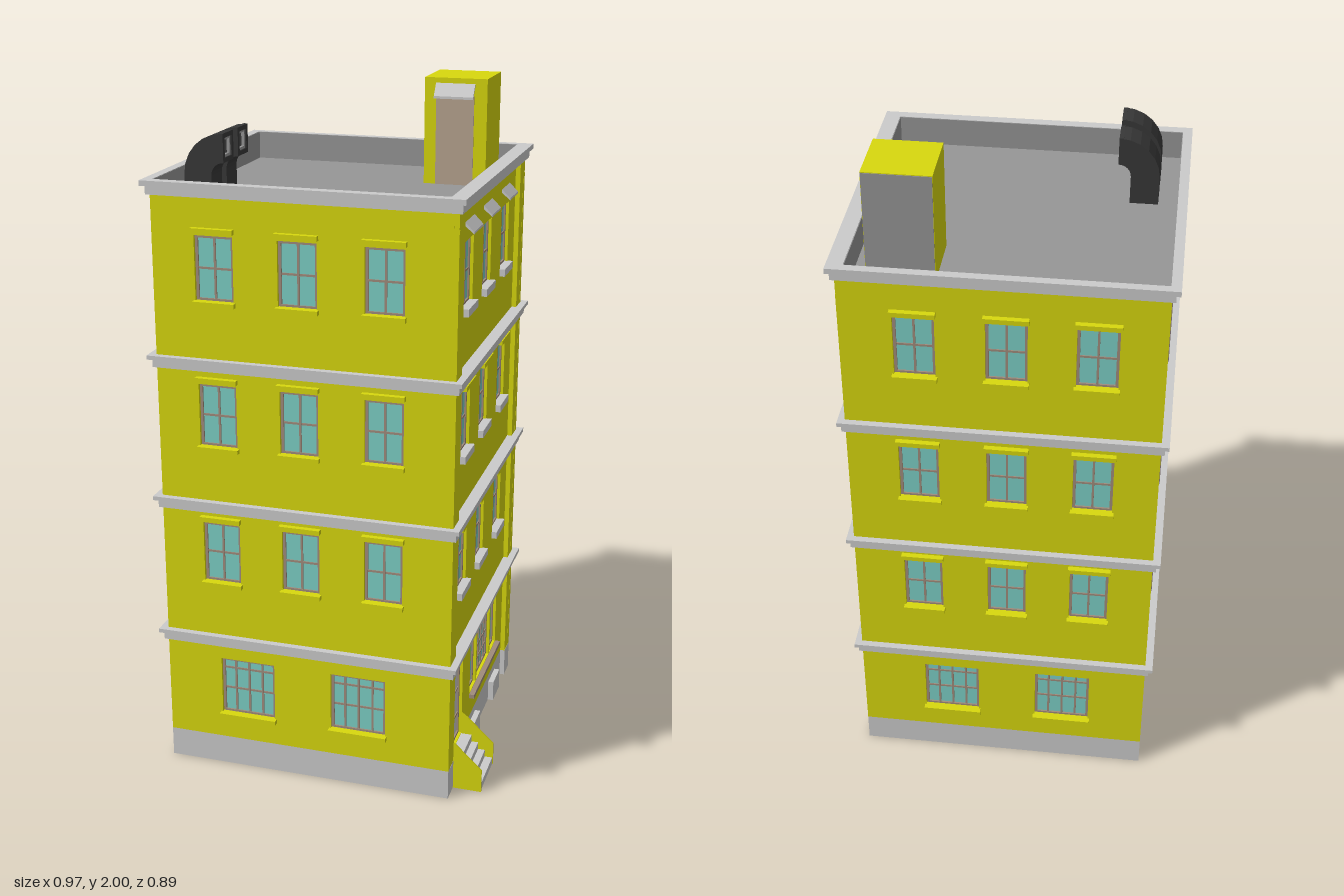
import * as THREE from 'three';

const mat = (color) => new THREE.MeshStandardMaterial({ color, side: THREE.DoubleSide, flatShading: true });

export function createModel() {
  const model = new THREE.Group();
  const yellow = mat(0xd8d80e), grey = mat(0xcccccc), roofGrey = mat(0x969696);
  const glass = mat(0x7cd0c6), brown = mat(0xa08c7c), dark = mat(0x383838), blind = mat(0x8c7c78), tan = mat(0xb8a490);

  const add = (parent, name, geometry, material) => {
    const mesh = new THREE.Mesh(geometry, material);
    mesh.name = name;
    parent.add(mesh);
    return mesh;
  };
  // Box given by its min and max on each axis
  const box = (parent, name, material, x0, x1, y0, y1, z0, z1) => {
    const mesh = add(parent, name, new THREE.BoxGeometry(x1 - x0, y1 - y0, z1 - z0), material);
    mesh.position.set((x0 + x1) / 2, (y0 + y1) / 2, (z0 + z1) / 2);
    return mesh;
  };
  const trace = (path, x0, x1, y0, y1) =>
    path.moveTo(x0, y0).lineTo(x1, y0).lineTo(x1, y1).lineTo(x0, y1).closePath();
  // Horizontal rectangular ring open in the middle
  const ring = (name, material, outer, inner, y0, y1) => {
    const shape = trace(new THREE.Shape(), outer[0], outer[1], -outer[3], -outer[2]);
    shape.holes.push(trace(new THREE.Path(), inner[0], inner[1], -inner[3], -inner[2]));
    const geo = new THREE.ExtrudeGeometry(shape, { depth: y1 - y0, bevelEnabled: false });
    add(model, name, geo.rotateX(-Math.PI / 2).translate(0, y0, 0), material);
  };
  // Prism with an x-y outline, extruded along z
  const prism = (parent, name, material, points, z0, z1) => {
    const shape = new THREE.Shape(points.map(([x, y]) => new THREE.Vector2(x, y)));
    const geo = new THREE.ExtrudeGeometry(shape, { depth: z1 - z0, bevelEnabled: false });
    return add(parent, name, geo.translate(0, 0, z0), material);
  };

  const WALL = 0.02, BASE = 0.09, ROOF = 1.69;

  // Pane, frame, glazing bars and trim of one opening; the wall face is z = 0
  const fillOpening = (wall, o) => {
    const g = new THREE.Group();
    g.name = o.name;
    wall.add(g);
    const { u0, u1, v0, v1 } = o, t = 0.008, zb = -WALL + 0.001, zf = -0.009;
    box(g, 'pane', o.pane || glass, u0, u1, v0, v1, -WALL, -0.014);
    for (const [a, b] of [[u0, u0 + t], [u1 - t, u1]]) box(g, 'frameSide', brown, a, b, v0, v1, zb, zf);
    for (const [a, b] of [[v0, v0 + t], [v1 - t, v1]]) box(g, 'frameRail', brown, u0 + t, u1 - t, a, b, zb, zf);
    for (const f of o.bars) {
      const u = u0 + f * (u1 - u0);
      box(g, 'uprightBar', brown, u - 0.003, u + 0.003, v0, v1, zb, zf - 0.001);
    }
    for (const f of o.rails) {
      const v = v0 + f * (v1 - v0);
      box(g, 'crossBar', brown, u0, u1, v - 0.003, v + 0.003, zb, zf - 0.002);
    }
    if (o.sill) box(g, 'sill', o.sill, u0 - 0.005, u1 + 0.005, v0 - (o.sillHeight || 0.011), v0 + 0.002, -WALL, 0.016);
    if (o.hood) box(g, 'hood', o.hood, u0 - 0.005, u1 + 0.005, v1 + 0.008, v1 + 0.022, -0.005, 0.016);
    if (o.awning) {
      const a = prism(g, 'awning', grey, [[0, 0.055], [0.025, 0.03], [0.025, 0.024], [0, 0.045]], -0.055, 0.055);
      a.rotation.y = -Math.PI / 2;
      a.position.set((u0 + u1) / 2, v1, 0);
    }
  };

  // Wall pierced by its openings
  const facade = (name, x0, x1, openings) => {
    const wall = new THREE.Group();
    wall.name = name;
    const shape = trace(new THREE.Shape(), x0, x1, BASE, ROOF);
    for (const o of openings) {
      shape.holes.push(trace(new THREE.Path(), o.u0, o.u1, o.v0, o.v1));
      fillOpening(wall, o);
    }
    const geo = new THREE.ExtrudeGeometry(shape, { depth: WALL, bevelEnabled: false });
    add(wall, 'wall', geo.translate(0, 0, -WALL), yellow);
    model.add(wall);
    return wall;
  };

  const floors = [0.6, 1.02, 1.445];
  const upperWindows = (centres, half, extra) => floors.flatMap((v0, i) => centres.map((c) => ({
    name: 'upperWindow', u0: c - half, u1: c + half, v0, v1: v0 + 0.185, bars: [0.5], rails: [0.5], ...extra(i),
  })));

  // Front and back walls
  for (const s of [1, -1]) {
    const openings = upperWindows([-0.285, -0.045, 0.2].map((c) => c * s), 0.056, () => ({ sill: yellow, hood: yellow }));
    for (const c of [-0.215, 0.125]) openings.push({
      name: 'groundWindow', u0: c * s - 0.083, u1: c * s + 0.083, v0: 0.172, v1: 0.352,
      bars: [0.25, 0.5, 0.75], rails: [0.45, 0.82], sill: yellow,
    });
    const ends = s > 0 ? [-0.465, 0.4] : [-0.4, 0.465];
    const wall = facade(s > 0 ? 'frontWall' : 'backWall', ...ends, openings);
    wall.position.z = 0.425 * s;
    if (s < 0) wall.rotation.y = Math.PI;
  }

  // Entrance wall on the +x side, set back between corner pilasters
  const entrance = upperWindows([-0.245, -0.02, 0.22], 0.052, (i) => ({
    sill: grey, sillHeight: 0.02, ...(i === 2 ? { awning: true } : { hood: yellow }),
  }));
  entrance.push(
    { name: 'entranceDoor', u0: -0.358, u1: -0.2, v0: 0.092, v1: 0.345, bars: [0.5], rails: [0.28, 0.62], pane: grey },
    { name: 'shopWindowSide', u0: -0.1, u1: -0.018, v0: 0.172, v1: 0.35, bars: [0.5], rails: [] },
    { name: 'shopWindowMiddle', u0: -0.008, u1: 0.17, v0: 0.172, v1: 0.35, bars: [0.2, 0.4, 0.6, 0.8], rails: [0.25, 0.5] },
    { name: 'shopWindowSide', u0: 0.18, u1: 0.265, v0: 0.172, v1: 0.35, bars: [0.5], rails: [] },
  );
  const entranceWall = facade('entranceWall', -0.405, 0.405, entrance);
  entranceWall.position.x = 0.385;
  entranceWall.rotation.y = Math.PI / 2;
  box(entranceWall, 'shopSill', brown, -0.105, 0.27, 0.157, 0.17, -0.01, 0.016);
  for (const s of [1, -1]) {
    const z = [0.36 * s, 0.4245 * s].sort((a, b) => a - b);
    box(model, 'pilaster', yellow, 0.378, 0.3995, BASE, 1.735, ...z);
    box(model, 'pilasterBase', grey, 0.378, 0.4, 0, BASE, ...z);
  }

  // Plain side wall with blind windows
  box(model, 'sideWall', yellow, -0.465, -0.445, BASE, ROOF, -0.405, 0.405);
  for (const v of floors) for (const z of [-0.225, 0, 0.245])
    box(model, 'blindWindow', blind, -0.467, -0.46, v, v + 0.19, z - 0.055, z + 0.055);

  // Plinth with cellar boxes
  box(model, 'plinth', grey, -0.465, 0.385, 0, BASE, -0.425, 0.425);
  box(model, 'plinthFrontEnd', grey, 0.38, 0.4, 0, BASE, 0.4, 0.425);
  box(model, 'plinthBackEnd', grey, 0.38, 0.4, 0, BASE, -0.425, -0.4);
  for (const z of [0.058, -0.225]) box(model, 'cellarBox', grey, 0.38, 0.402, 0, 0.065, z - 0.046, z + 0.046);

  // Floor bands
  for (const y of [0.395, 0.82, 1.245]) {
    box(model, 'floorBand', grey, -0.475, 0.41, y, y + 0.024, -0.434, 0.434);
    box(model, 'floorBandCap', grey, -0.487, 0.42, y + 0.024, y + 0.036, -0.445, 0.445);
  }

  // Parapet, cornice and roof deck
  const inner = [-0.46, 0.375, -0.42, 0.415];
  ring('parapet', yellow, [-0.465, 0.385, -0.425, 0.425], inner, ROOF, 1.735);
  ring('parapetLining', roofGrey, [-0.462, 0.377, -0.422, 0.417], [-0.458, 0.373, -0.418, 0.413], ROOF, 1.774);
  ring('cornice', grey, [-0.475, 0.41, -0.434, 0.434], inner, 1.735, 1.76);
  ring('corniceCap', grey, [-0.487, 0.42, -0.445, 0.445], inner, 1.76, 1.775);
  box(model, 'roofDeck', roofGrey, -0.462, 0.38, ROOF - 0.01, ROOF + 0.002, -0.422, 0.422);

  // Entrance stairs with sloping side walls
  const stairs = new THREE.Group();
  stairs.name = 'entranceStairs';
  model.add(stairs);
  [0.485, 0.462, 0.441, 0.42].forEach((x, i) =>
    box(stairs, 'step', grey, 0.38, x - 0.002, i * 0.0225, (i + 1) * 0.0225, 0.203, 0.357));
  const cheek = [[0.385, 0], [0.485, 0], [0.485, 0.07], [0.405, 0.145], [0.385, 0.16]];
  for (const z of [0.197, 0.357]) prism(stairs, 'stairSideWall', yellow, cheek, z, z + 0.006);

  // Stair house on the roof
  const house = new THREE.Group();
  house.name = 'roofStairHouse';
  model.add(house);
  box(house, 'houseWalls', yellow, 0.15, 0.335, ROOF, 2, -0.34, -0.16);
  box(house, 'houseBack', roofGrey, 0.151, 0.334, ROOF, 1.998, -0.342, -0.335);
  box(house, 'houseDoor', tan, 0.185, 0.297, ROOF, 1.95, -0.165, -0.157);
  const canopy = prism(house, 'doorCanopy', grey, [[0, 1.985], [0.025, 1.95], [0.025, 1.943], [0, 1.975]], -0.058, 0.058);
  canopy.rotation.y = -Math.PI / 2;
  canopy.position.set(0.241, 0, -0.16);

  // Roof ventilation elbows: square duct swept through a quarter turn
  const profile = [[0.035, -0.039], [0.115, -0.039], [0.115, 0.039], [0.035, 0.039], [0.035, -0.039]]
    .map(([r, y]) => new THREE.Vector2(r, y));
  for (const z of [0.17, 0.283]) {
    const duct = new THREE.Group();
    duct.name = 'ventilationDuct';
    duct.position.set(-0.29, 1.775, z);
    model.add(duct);
    add(duct, 'elbow', new THREE.LatheGeometry(profile, 6, 1.5 * Math.PI, Math.PI / 2).rotateX(-Math.PI / 2), dark);
    box(duct, 'riser', dark, -0.115, -0.035, ROOF - 1.775, 0, -0.039, 0.039);
    const rim = trace(new THREE.Shape(), -0.039, 0.039, 0.035, 0.115);
    rim.holes.push(trace(new THREE.Path(), -0.026, 0.026, 0.048, 0.102));
    const rimGeo = new THREE.ExtrudeGeometry(rim, { depth: 0.012, bevelEnabled: false });
    add(duct, 'rim', rimGeo.rotateY(Math.PI / 2).translate(-0.011, 0, 0), dark);
    const lip = trace(new THREE.Shape(), -0.026, 0.026, 0.048, 0.102);
    lip.holes.push(trace(new THREE.Path(), -0.019, 0.019, 0.055, 0.095));
    const lipGeo = new THREE.ExtrudeGeometry(lip, { depth: 0.008, bevelEnabled: false });
    add(duct, 'innerLip', lipGeo.rotateY(Math.PI / 2).translate(-0.011, 0, 0), roofGrey);
  }
  return model;
}
